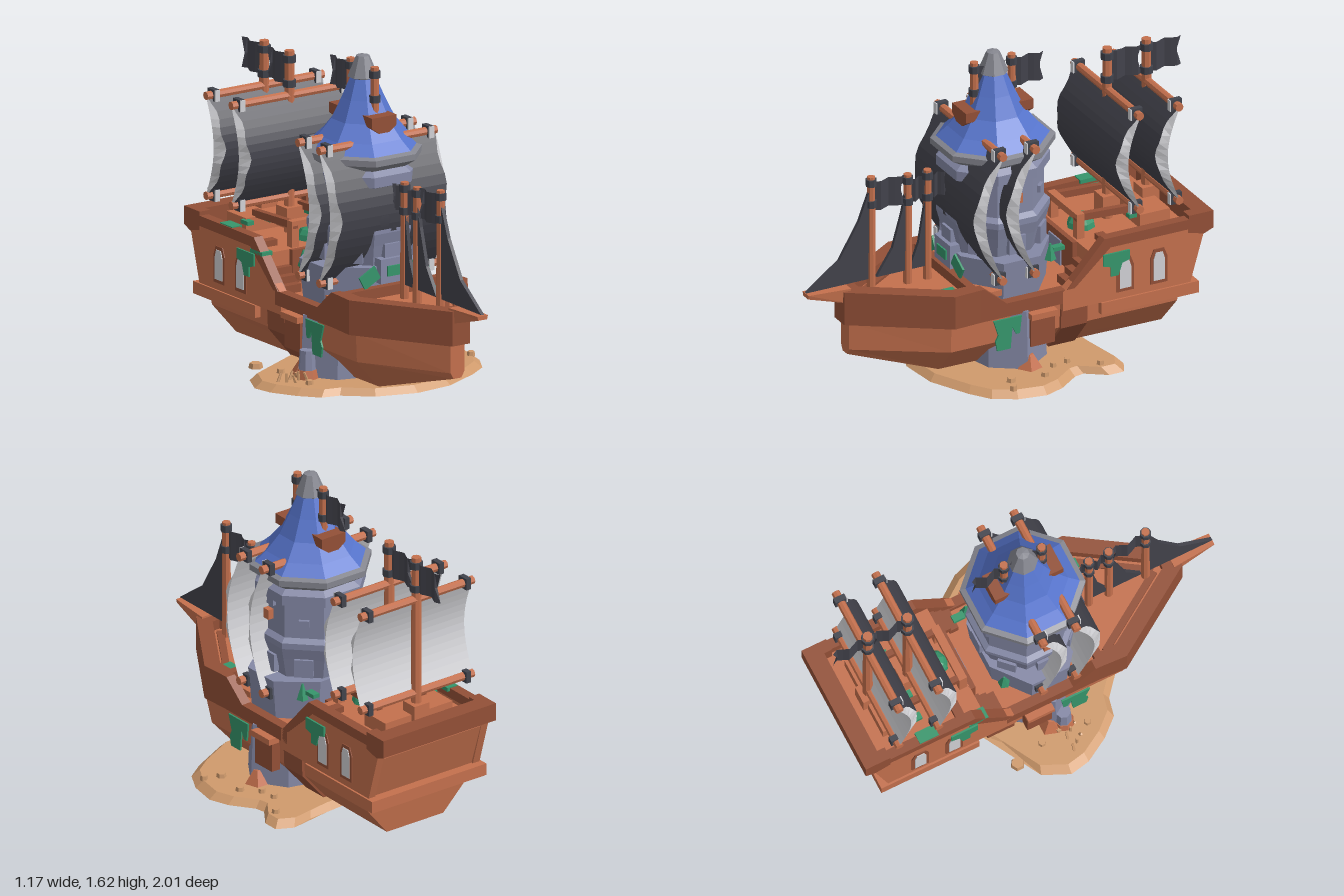
import * as THREE from 'three';

const mat = (name, color, double) => {
  const m = new THREE.MeshStandardMaterial({ color, flatShading: true, side: double ? THREE.DoubleSide : THREE.FrontSide });
  m.name = name;
  return m;
};

export function createModel() {
  const root = new THREE.Group();
  root.name = 'towerShip';
  const wood = mat('wood', 0xc4704d), darkWood = mat('darkWood', 0x935037), stone = mat('stone', 0x8589a6);
  const cloth = mat('darkCloth', 0x42424b, true), white = mat('white', 0xd2d2d6, true), blue = mat('blue', 0x5674cc);
  const green = mat('slime', 0x36966c, true), sand = mat('sand', 0xcf9a6c), iron = mat('iron', 0x41434c), cap = mat('capGrey', 0x85868f);

  const add = (name, geo, m, x = 0, y = 0, z = 0) => {
    const mesh = new THREE.Mesh(geo, m);
    mesh.name = name;
    mesh.position.set(x, y, z);
    root.add(mesh);
    return mesh;
  };
  const box = (name, m, w, h, d, x, y, z) => add(name, new THREE.BoxGeometry(w, h, d), m, x, y, z);
  const cyl = (name, m, r0, r1, h, n, x, y, z) => add(name, new THREE.CylinderGeometry(r1, r0, h, n), m, x, y, z);
  const both = f => [-1, 1].forEach(f);
  const shape = pts => new THREE.Shape(pts.map(p => new THREE.Vector2(p[0], p[1])));
  // side profile in (z, y), given a thickness along x
  const side = (name, m, pts, t, x) => {
    const g = new THREE.ExtrudeGeometry(shape(pts), { depth: t, bevelEnabled: false });
    g.rotateY(-Math.PI / 2);
    g.translate(t / 2, 0, 0);
    return add(name, g, m, x);
  };
  // floor plan in (x, z), given a height below top
  const plan = (name, m, pts, h, top, hole) => {
    const s = shape(pts);
    if (hole) s.holes.push(new THREE.Path(hole.map(p => new THREE.Vector2(p[0], p[1]))));
    const g = new THREE.ExtrudeGeometry(s, { depth: h, bevelEnabled: false });
    g.rotateX(Math.PI / 2);
    return add(name, g, m, 0, top);
  };
  const loft = (rings, closed) => {
    const n = rings[0].length, idx = [], g = new THREE.BufferGeometry();
    for (let i = 0; i < rings.length - 1; i++) for (let j = 0; j < (closed ? n : n - 1); j++) {
      const a = i * n + j, b = i * n + (j + 1) % n;
      idx.push(a, a + n, b, b, a + n, b + n);
    }
    const e = (rings.length - 1) * n;
    if (closed) for (let j = 1; j < n - 1; j++) idx.push(0, j, j + 1, e, e + j + 1, e + j);
    g.setAttribute('position', new THREE.Float32BufferAttribute(rings.flat(2), 3));
    g.setIndex(idx);
    g.computeVertexNormals();
    return g;
  };

  // island and its underside
  const isle = [[0, -.4], [.2, -.42], [.33, -.43], [.45, -.46], [.53, -.42], [.53, -.34], [.46, -.24], [.47, -.19], [.55, -.08], [.585, .02], [.56, .16],
    [.5, .27], [.4, .34], [.2, .44], [0, .46], [-.2, .4], [-.33, .29], [-.42, .27], [-.5, .18], [-.57, .06], [-.59, -.04], [-.53, -.17], [-.43, -.21], [-.3, -.26], [-.2, -.35]];
  const isleRing = (k, y) => isle.map(([x, z]) => [x * k, y, z * k]).reverse();
  add('island', loft([isleRing(.93, .092), isleRing(1, .06)].map(r => r.reverse()).map(r => r.slice().reverse()), true), sand);
  const disc = cyl('baseDisc', iron, .36, .36, .01, 9, 0, .056, 0);
  disc.scale.z = .85;
  for (let i = 0; i < 5; i++) cyl('underMoss', green, .08, .08, .008, 5, .33 * Math.cos(i * 1.3), .056, .28 * Math.sin(i * 1.3));
  cyl('hub', darkWood, .06, .07, .035, 10, 0, .038, 0);
  cyl('hubFoot', iron, .04, .055, .02, 10, 0, .01, 0);
  [[-.44, -.25, .035], [-.4, -.1, .02], [-.37, 0, .02], [-.4, .14, .02], [.45, -.04, .022], [.43, .13, .025], [.51, .16, .02], [.37, -.2, .018], [.38, -.12, .018], [.46, -.33, .02]]
    .forEach(([x, z, r]) => cyl('pebble', sand, r, r * .85, .025, 6, x, .1, z));
  for (let i = 0; i < 7; i++) {
    const s = cyl('coral', sand, .008, .006, .05, 5, -.49 + .022 * i, .11, .02 + .03 * (i % 3));
    s.rotation.z = (i % 3 - 1) * .4;
  }
  cyl('smallTurret', stone, .042, .036, .1, 8, -.345, .18, .04);
  cyl('smallTurretFoot', wood, .055, .045, .05, 8, -.345, .11, .04);
  both(s => cyl('redRock', wood, .07, .02, .08, 5, s * .33, .12, -.02));

  // stone foundation through the hull
  const found = cyl('foundation', stone, .355, .34, .31, 8, 0, .235, 0);
  found.rotation.y = Math.PI / 8;
  found.geometry.rotateY(0).scale(1, 1, .62);
  found.rotation.y = 0;

  // lower hull
  const sec = (z, w, yb, rake = 0) => [[w, .38], [-w, .38], [-w * .98, .24], [-w * .56, yb], [w * .56, yb], [w * .98, .24]]
    .map(([x, y]) => [x, y, z - rake * (y - yb)]);
  add('lowerHull', loft([sec(.79, .04, .21), sec(.38, .3, .1), sec(-.81, .3, .09, .12)], true), wood);
  add('hullRib', loft([sec(-.2, .315, .085), sec(-.34, .315, .085)], true), darkWood);

  // bow bulwark, midship rails and decks
  plan('bowBulwark', darkWood, [[-.33, .24], [.33, .24], [.338, .38], [.05, .82], [-.05, .82], [-.338, .38]], .17, .55,
    [[-.26, .28], [-.26, .36], [-.02, .73], [.02, .73], [.26, .36], [.26, .28]]);
  plan('foreDeck', wood, [[-.28, .1], [.28, .1], [.28, .38], [.02, .76], [-.02, .76], [-.28, .38]], .03, .5);
  plan('mainDeck', wood, [[-.29, -.4], [.29, -.4], [.29, .3], [-.29, .3]], .04, .42);
  both(s => {
    side('midRail', darkWood, [[.28, .38], [.28, .55], [.22, .55], [.1, .45], [-.25, .45], [-.25, .38]], .05, s * .305);
    const plank = box('bowPlank', darkWood, .035, .015, .46, s * .13, .505, .5);
    plank.rotation.y = -s * .58;
    box('sideCrate', darkWood, .05, .15, .13, s * .32, .275, -.085);
    box('sideLedge', wood, .06, .03, .14, s * .335, .36, -.085);
  });
  add('bowsprit', loft([[[.03, .565], [-.03, .565], [-.025, .545], [.025, .545]].map(p => [...p, 1]),
    [[.045, .56], [-.045, .56], [-.04, .48], [.04, .48]].map(p => [...p, .78])], true), wood);

  // stern castle
  side('sternBlock', wood, [[-.36, .34], [-.36, .6], [-.93, .6], [-.94, .56], [-.87, .34]], .6, 0);
  both(s => {
    side('sternWall', wood, [[-.2, .37], [-.2, .44], [-.27, .5], [-.43, .66], [-.92, .66], [-.95, .58], [-.88, .34], [-.2, .34]], .04, s * .31);
    side('sternRail', darkWood, [[-.22, .45], [-.26, .45], [-.45, .62], [-.9, .62], [-.9, .67], [-.42, .67]], .05, s * .31);
    side('sternCorner', darkWood, [[-.87, .6], [-.87, .69], [-1, .69], [-1, .6], [-.95, .58]], .06, s * .305);
    side('sternLedge', wood, [[-.4, .28], [-.4, .34], [-.92, .34], [-.92, .28]], .03, s * .325);
    for (let i = 0; i < 6; i++) box('stair', darkWood, .11, .04, .045, s * .235, .44 + i * .034, -.27 - i * .04);
    for (const z of [-.53, -.71]) {
      const arch = (w, h) => [[-w, 0], [-w, h * .75], [-w * .6, h], [w * .6, h], [w, h * .75], [w, 0]].map(([a, b]) => [z + a, .465 + b - h / 2]).reverse();
      side('windowFrame', darkWood, arch(.045, .18), .006, s * .332);
      side('window', white, arch(.03, .145), .008, s * .335);
    }
    // slime drips
    side('sternSlime', green, [[-.41, .59], [-.55, .59], [-.55, .54], [-.51, .53], [-.49, .47], [-.45, .47], [-.45, .52], [-.41, .53]].reverse(), .009, s * .339);
    side('railSlime', green, [[.18, .38], [.03, .38], [.04, .29], [.06, .29], [.08, .33], [.09, .22], [.16, .22], [.17, .27], [.155, .3]].reverse(), .009, s * .345);
  });
  box('sternBack', darkWood, .62, .09, .09, 0, .645, -.955);
  box('sternLedgeBack', wood, .66, .06, .07, 0, .31, -.885);
  box('cabinFront', darkWood, .34, .16, .03, 0, .52, -.35);
  box('cabinDoor', stone, .12, .13, .008, 0, .5, -.331);
  both(s => {
    const b = box('deckBeam', darkWood, .03, .035, .34, s * .13, .7, -.54);
    b.rotation.x = -.05;
    box('deckPost', wood, .04, .1, .04, s * .13, .65, -.39);
  });
  box('deckCrossBeam', wood, .3, .035, .04, 0, .71, -.39);
  box('deckPlatform', wood, .4, .07, .16, 0, .645, -.76);
  add('mossDome', new THREE.SphereGeometry(.07, 8, 4, 0, Math.PI * 2, 0, Math.PI / 2), green, .02, .6, -.46);
  [[-.3, -.66, .05], [-.2, -.67, .03], [-.08, -.66, .03], [.15, -.67, .03], [-.305, -.4, .05], [.2, .35, .04], [.18, -.25, .03]]
    .forEach(([x, z, r], i) => box('moss', green, r * 1.2, .02, r * 2, x, i < 4 ? .665 : i === 5 ? .51 : .6, z));

  // tower
  const oct = (name, m, pts) => add(name, new THREE.LatheGeometry(pts.map(p => new THREE.Vector2(p[0] / Math.cos(Math.PI / 8), p[1])), 8, Math.PI / 8), m);
  const bailey = cyl('towerPlatform', stone, .3, .32, .2, 8, 0, .54, 0);
  bailey.geometry.rotateY(Math.PI / 8);
  bailey.scale.z = .8;
  oct('towerBody', stone, [[.17, .4], [.2, .58], [.235, .74], [.25, .8], [.25, .83], [.225, .85], [.225, 1.02], [.25, 1.03], [.25, 1.08], [.21, 1.11], [0, 1.11]]);
  for (let i = 0; i < 8; i++) {
    const a = i * Math.PI / 4;
    const m = box('battlement', stone, .09, .09, .03, .235 * Math.sin(a), .7, .235 * Math.cos(a));
    m.rotation.y = a;
    const b = box('brick', stone, .05, .035, .02, .232 * Math.sin(a), .93 + .04 * (i % 3), .232 * Math.cos(a));
    b.rotation.y = a;
  }
  both(s => {
    box('towerLantern', wood, .03, .05, .04, s * .25, .95, 0);
    const p = box('brokenSlab', green, .1, .07, .01, s * .14, .6, .262);
    p.rotation.z = s * -.5;
    cyl('towerMoss', green, .03, .005, .08, 5, s * .2, .6, -.2);
  });
  box('frontBlock', stone, .16, .12, .06, 0, .62, .24);
  box('frontMoss', green, .09, .05, .008, 0, .62, .274);
  oct('eave', cap, [[0, 1.09], [.2, 1.09], [.275, 1.14], [.275, 1.17], [.25, 1.18]]);
  oct('roof', blue, [[.265, 1.165], [.2, 1.23], [.14, 1.31], [.095, 1.41], [.055, 1.51]]);
  oct('roofCap', cap, [[.05, 1.5], [.068, 1.51], [.03, 1.61], [0, 1.615]]);

  // flags and masts
  const flag = (z, y0, y1, len) => {
    const n = 6, h = y1 - y0, rows = [];
    for (let i = 0; i <= n; i++) rows.push([y0, (y0 + y1) / 2, y1].map((y, j) =>
      [.012 * Math.sin(i * 1.6), y, z - len * (i / n) * (j === 1 && i === n ? .85 : 1)]));
    add('flag', loft(rows, false), cloth);
  };
  const mast = (z, y0, y1, r, bands) => {
    cyl('mast', wood, r, r * .9, y1 - y0, 8, 0, (y0 + y1) / 2, z);
    bands.forEach(y => cyl('mastBand', iron, r * 1.25, r * 1.25, .035, 8, 0, y, z));
  };
  [-.61, -.82].forEach(z => {
    mast(z, .6, 1.49, .026, [1.45, 1.33]);
    box('mastFoot', wood, .09, .1, .09, 0, .68, z);
    flag(z - .02, 1.315, 1.465, .165);
  });
  both(s => {
    mast(s * .1, 1.25, 1.575, .022, [1.54, 1.42]);
    flag(s * .1 - .02, 1.405, 1.55, .15);
    const b = add('mastBracket', new THREE.ExtrudeGeometry(shape([[-.07, 1.35], [-.07, 1.3], [-.03, 1.27], [.03, 1.27], [.07, 1.3], [.07, 1.35]]),
      { depth: .08, bevelEnabled: false }), darkWood, 0, 0, s > 0 ? .1 : -.18);
    b.name = 'mastBracket';
  });
  [[.65, 1.1, .16, .35], [.455, 1.07, .09, .17], [.35, 1.07, .08, .1]].forEach(([z, top, len, jib]) => {
    mast(z, .5, top, .022, [top - .03, top - .14]);
    flag(z - .02, .92, top - .03, len);
    side('jib', cloth, [[z + .01, top - .06], [z + .01, .57], [z + jib, .57], [z + jib * .5, .7], [z + jib * .2, .88]], .018, 0);
  });

  // square sails: dark front, pale back and edges, held by two yards
  const sail = (z, y0, y1, bulge) => {
    const N = 14, front = [], back = [], edges = [[], []];
    for (let i = 0; i <= N; i++) {
      const t = i / N, y = y0 + (y1 - y0) * t, b = Math.sin(Math.PI * t);
      const w = .33 - .018 * b - .012 * (1 - Math.cos(t * Math.PI * 6)) * .8, zf = z + bulge * b, zb = zf - .045 * b - .003;
      front.push([[-w, y, zf], [w, y, zf]]);
      back.push([[-.332, y, zb], [.332, y, zb]]);
      edges[0].push([[-w, y, zf], [-.332, y, zb]]);
      edges[1].push([[w, y, zf], [.332, y, zb]]);
    }
    add('sailFront', loft(front, false), cloth);
    add('sailBack', loft(back, false), white);
    edges.forEach(e => add('sailEdge', loft(e, false), white));
    [y0, y1].forEach(y => {
      cyl('yard', wood, .021, .021, .67, 8, 0, y, z).rotation.z = Math.PI / 2;
      both(s => {
        box('yardClamp', iron, .028, .058, .058, s * .29, y, z);
        box('yardStrap', white, .028, .056, .006, s * .29, y, z + .032);
      });
    });
  };
  sail(.12, .57, 1.22, .14);
  sail(-.055, .57, 1.22, .14);
  sail(-.61, .78, 1.27, .11);
  sail(-.82, .78, 1.27, .11);

  // painted skull on the front sail, following its curve
  const patch = (name, m, rows, off) => {
    const out = [];
    for (let i = 0; i < rows.length - 1; i++) for (let k = 0; k <= 4; k++) {
      const [y, a, b] = rows[i].map((v, c) => v + (rows[i + 1][c] - v) * k / 4);
      const z = .12 + .14 * Math.sin(Math.PI * (y - .57) / .65) + off;
      out.push([[a, y, z], [b, y, z]]);
    }
    add(name, loft(out, false), m);
  };
  patch('skullFace', stone, [[.76, -.05, .05], [.8, -.07, .07], [.825, -.065, .065], [.84, -.1, .1], [.9, -.125, .125], [.98, -.12, .12], [1.04, -.075, .075], [1.06, -.04, .04]], .005);
  both(s => patch('skullEye', cloth, [[.84, s * .055 - .02, s * .055 + .02], [.87, s * .055 - .032, s * .055 + .032], [.895, s * .055 - .02, s * .055 + .02]], .009));
  patch('skullNose', cloth, [[.81, -.018, .018], [.84, -.004, .004]], .009);
  return root;
}
